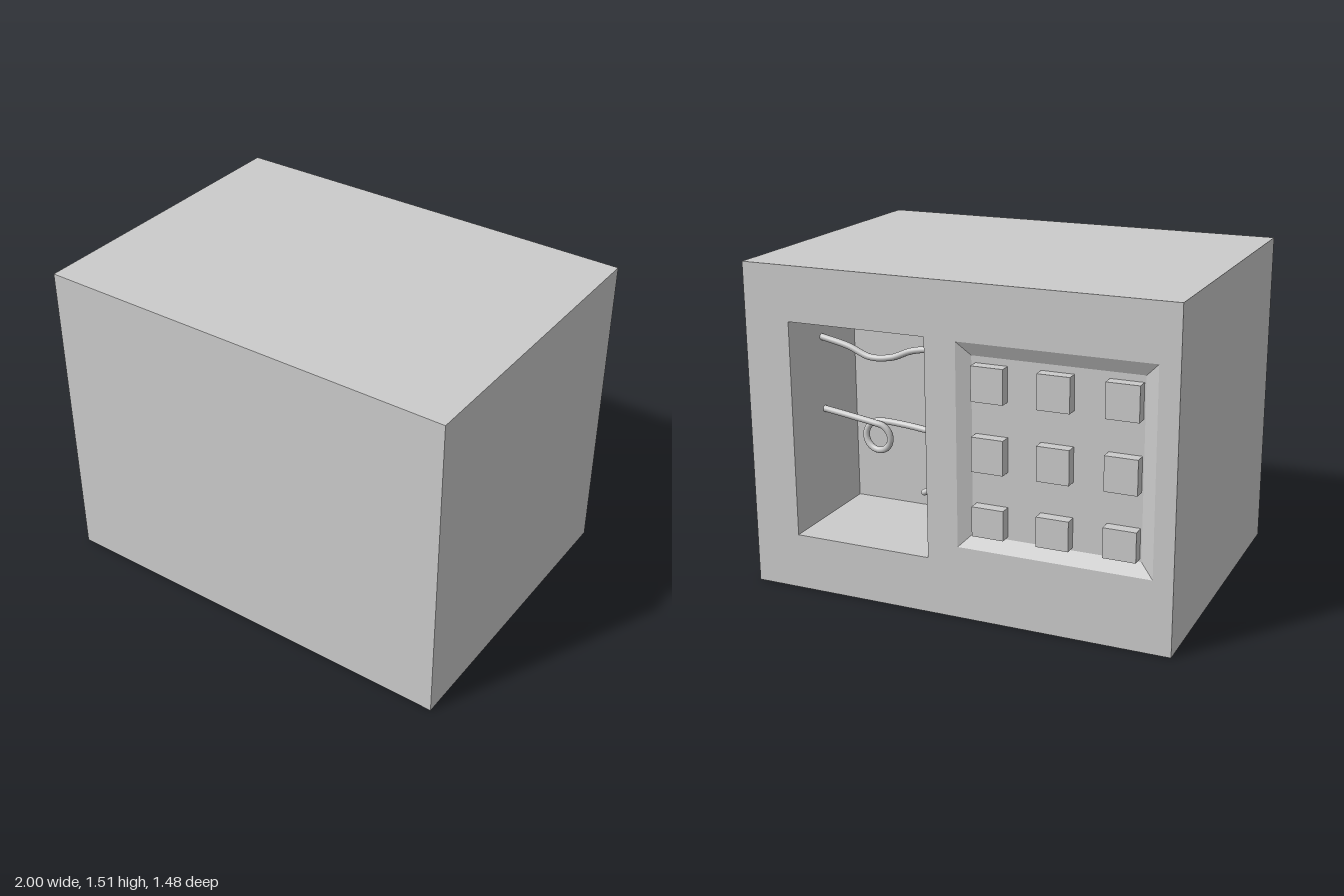
import * as THREE from 'three';

const BACK = -0.72, FRONT = 0.74;
const WIRE_Z = -0.45;

// Joins rectangles [x0, x1, y0, y1, z] in order and closes the last one.
// inward = true makes a hollow instead of a solid.
function loftRects(rects, inward = false) {
  const pos = [];
  const corners = ([x0, x1, y0, y1, z]) => [[x0, y0, z], [x1, y0, z], [x1, y1, z], [x0, y1, z]];
  const quad = (a, b, c, d) => {
    const order = inward ? [a, c, b, a, d, c] : [a, b, c, a, c, d];
    order.forEach((p) => pos.push(...p));
  };
  for (let k = 0; k < rects.length - 1; k++) {
    const p = corners(rects[k]), q = corners(rects[k + 1]);
    for (let i = 0; i < 4; i++) {
      const j = (i + 1) % 4;
      quad(p[i], p[j], q[j], q[i]);
    }
  }
  quad(...corners(rects[rects.length - 1]));
  const geo = new THREE.BufferGeometry();
  geo.setAttribute('position', new THREE.Float32BufferAttribute(pos, 3));
  geo.computeVertexNormals();
  return geo;
}

function rectPath(PathType, x0, x1, y0, y1) {
  return new PathType([[x0, y0], [x1, y0], [x1, y1], [x0, y1]].map(([x, y]) => new THREE.Vector2(x, y)));
}

export function createModel() {
  const group = new THREE.Group();
  const mat = new THREE.MeshStandardMaterial({ color: 0xcccccc });
  const add = (name, geo, parent = group) => {
    const mesh = new THREE.Mesh(geo, mat);
    mesh.name = name;
    parent.add(mesh);
    return mesh;
  };

  // Outer casing, open at the back
  add('casing', loftRects([[-1, 1, 0, 1.51, BACK], [-1, 1, 0, 1.51, FRONT]]));

  // Back panel with two openings (drawn mirrored in x, then turned to face -z)
  const panel = rectPath(THREE.Shape, -1, 1, 0, 1.51);
  panel.holes.push(rectPath(THREE.Path, -0.78, -0.12, 0.26, 1.26));
  panel.holes.push(rectPath(THREE.Path, 0.025, 0.91, 0.335, 1.255));
  add('backPanel', new THREE.ShapeGeometry(panel).rotateY(Math.PI).translate(0, 0, BACK));

  // Deep compartment that holds the wires
  add('wireCompartment', loftRects([[0.12, 0.78, 0.26, 1.26, BACK], [0.12, 0.78, 0.26, 1.26, -0.15]], true));

  // Shallow keypad tray with sloping sides
  add('keypadTray', loftRects([
    [-0.91, -0.025, 0.335, 1.255, BACK],
    [-0.85, -0.085, 0.395, 1.195, BACK + 0.03],
  ], true));

  // 3 x 3 keypad buttons
  const keypad = new THREE.Group();
  keypad.name = 'keypad';
  group.add(keypad);
  for (const x of [-0.77, -0.473, -0.177]) {
    for (const [y, h] of [[0.475, 0.135], [0.778, 0.155], [1.088, 0.155]]) {
      add('button', new THREE.BoxGeometry(0.146, h, 0.06), keypad).position.set(x, y, -0.713);
    }
  }

  // Wires running between the compartment walls
  const wires = new THREE.Group();
  wires.name = 'wires';
  group.add(wires);
  const addWire = (name, points, segments) => {
    const curve = new THREE.CatmullRomCurve3(points.map((p) => new THREE.Vector3(...p)));
    add(name, new THREE.TubeGeometry(curve, segments, 0.015, 12), wires);
  };

  addWire('wavyWire', [
    [0.78, 1.13], [0.64, 1.1], [0.53, 1.06], [0.42, 1.07], [0.32, 1.11], [0.22, 1.125], [0.12, 1.11],
  ].map(([x, y]) => [x, y, WIRE_Z]), 60);

  // Middle wire makes one full loop, drifting in z so it clears itself
  const loop = [];
  for (let i = 0; i <= 12; i++) {
    const a = Math.PI / 2 + (i / 12) * Math.PI * 2;
    loop.push([0.5 + 0.067 * Math.cos(a), 0.69 + 0.067 * Math.sin(a), WIRE_Z - 0.02 + (i / 12) * 0.04]);
  }
  addWire('loopedWire', [
    [0.78, 0.786, -0.445], [0.63, 0.772, -0.46], ...loop, [0.36, 0.757, -0.44], [0.12, 0.74, -0.465],
  ], 140);

  // Short drooping stub
  addWire('brokenWire', [[0.12, 0.49, WIRE_Z], [0.2, 0.483, WIRE_Z], [0.27, 0.45, WIRE_Z]], 20);
  add('brokenWireTip', new THREE.SphereGeometry(0.015, 12, 8), wires).position.set(0.27, 0.45, WIRE_Z);

  return group;
}
